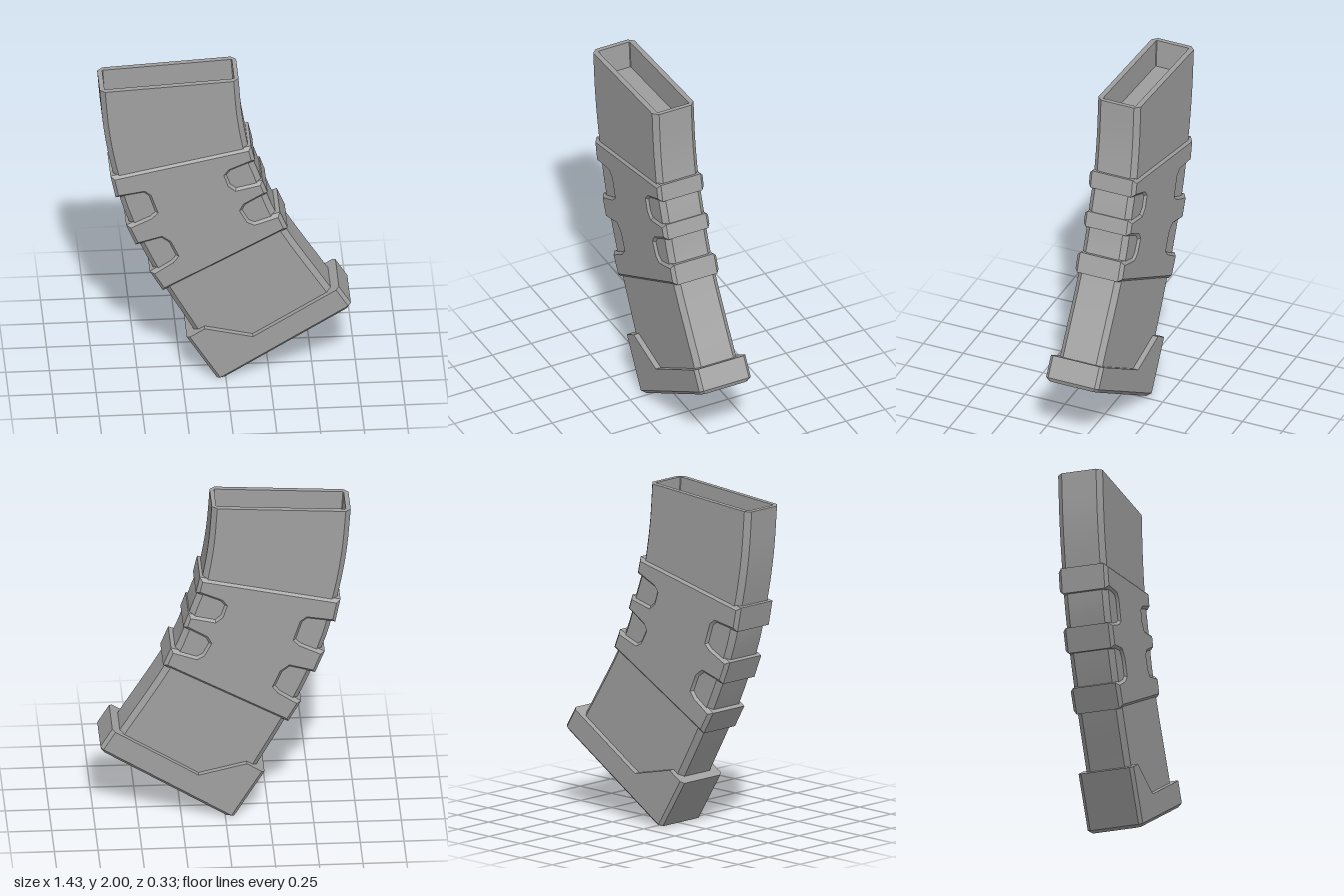
import * as THREE from 'three';
import { toCreasedNormals } from 'three/addons/utils/BufferGeometryUtils.js';

// Chamfered rectangle spanning L to R, front points left to right, then the back
function ring(L, R, halfDepth, chamfer, mids = [], lift = () => 0) {
  const width = Math.hypot(R[0] - L[0], R[1] - L[1]);
  const dx = (R[0] - L[0]) / width, dy = (R[1] - L[1]) / width;
  const front = [[0, halfDepth - chamfer], [chamfer, halfDepth],
    ...mids.map(u => [u, halfDepth]),
    [width - chamfer, halfDepth], [width, halfDepth - chamfer]]
    .map(([u, z]) => [L[0] + dx * u, L[1] + dy * u + lift(u), z]);
  return [...front, ...front.map(([x, y, z]) => [x, y, -z]).reverse()];
}

// Skin between successive rings with closed ends
function loft(rings) {
  const n = rings[0].length, index = [];
  const quad = (a, b, c, d) => index.push(a, b, c, a, c, d);
  for (let k = 0; k < rings.length - 1; k++) {
    for (let i = 0; i < n; i++) {
      const a = k * n + i, b = k * n + (i + 1) % n;
      quad(a, b, b + n, a + n);
    }
  }
  const last = (rings.length - 1) * n;
  for (let i = 0; i < n / 2 - 1; i++) {
    quad(n - 1 - i, n - 2 - i, i + 1, i);
    quad(last + i, last + i + 1, last + n - 2 - i, last + n - 1 - i);
  }
  const g = new THREE.BufferGeometry();
  g.setAttribute('position', new THREE.Float32BufferAttribute(rings.flat(2), 3));
  g.setIndex(index);
  return toCreasedNormals(g, 0.5);
}

const spline = pts => new THREE.CatmullRomCurve3(pts.map(([x, y]) => new THREE.Vector3(x, y, 0)));

export function createModel() {
  const model = new THREE.Group();
  const grey = new THREE.MeshStandardMaterial({ color: 0xa0a0a0 });
  grey.name = 'grey';
  const add = (name, geometry) => {
    const mesh = new THREE.Mesh(geometry, grey);
    mesh.name = name;
    model.add(mesh);
    return mesh;
  };

  // Curved hollow body, from inside the base up to the open mouth
  const left = spline([[-0.12, 0.20], [-0.19, 0.33], [-0.335, 0.59], [-0.455, 0.83],
    [-0.58, 1.14], [-0.64, 1.38], [-0.675, 1.55], [-0.70, 1.72], [-0.72, 1.955]]);
  const right = spline([[0.67, 0.45], [0.60, 0.565], [0.34, 0.985], [0.26, 1.15],
    [0.19, 1.36], [0.14, 1.50], [0.115, 1.62], [0.092, 1.78], [0.075, 2.0]]);
  const bodyRings = [];
  const steps = 32;
  for (let i = 0; i <= steps; i++) {
    const l = left.getPoint(i / steps), r = right.getPoint(i / steps);
    bodyRings.push(ring([l.x, l.y], [r.x, r.y], 0.133, 0.03));
  }
  // Rim and shallow cavity
  bodyRings.push(ring([-0.692, 1.957], [0.05, 1.999], 0.102, 0.004));
  bodyRings.push(ring([-0.68, 1.79], [0.062, 1.83], 0.102, 0.004));
  add('body', loft(bodyRings));

  // Raised grip sleeve with two notches on each edge
  const gripOutline = [
    [-0.66, 1.385], [-0.63, 1.24],
    [-0.47, 1.265], [-0.445, 1.245], [-0.41, 1.14], [-0.435, 1.115],
    [-0.57, 1.05], [-0.515, 0.915],
    [-0.37, 0.955], [-0.33, 0.925], [-0.292, 0.84], [-0.315, 0.81],
    [-0.435, 0.73], [-0.36, 0.60],
    [0.355, 0.99], [0.31, 1.10],
    [0.165, 1.05], [0.135, 1.065], [0.10, 1.13], [0.115, 1.16],
    [0.24, 1.235], [0.21, 1.32],
    [0.06, 1.285], [0.03, 1.31], [0.01, 1.37], [0.03, 1.395],
    [0.168, 1.455], [0.145, 1.555],
  ].map(([x, y]) => new THREE.Vector2(x, y));
  const bevel = 0.02;
  const grip = new THREE.ExtrudeGeometry(new THREE.Shape(gripOutline), {
    depth: 2 * (0.147 - bevel), bevelEnabled: true, bevelSegments: 1,
    bevelSize: bevel, bevelThickness: bevel, bevelOffset: -bevel,
  });
  grip.translate(0, 0, bevel - 0.147);
  add('gripSleeve', toCreasedNormals(grip, 0.5));

  // Tilted floor plate with a raised front lip
  const w = 0.9, c = 0.02;
  const lip = u => 0.15 + 0.2 * THREE.MathUtils.clamp((0.32 - u) / 0.2, 0, 1);
  const basePlate = add('basePlate', loft([
    ring([c, 0], [w - c, 0], 0.165 - c, c, [0.12 - c, 0.32 - c]),
    ring([0, c], [w, c], 0.165, c, [0.12, 0.32]),
    ring([0, 0], [w, 0], 0.165, c, [0.12, 0.32], lip),
  ]));
  basePlate.position.set(-0.04, -0.01, 0);
  basePlate.rotation.z = Math.atan2(0.526, 0.85);

  return model;
}
